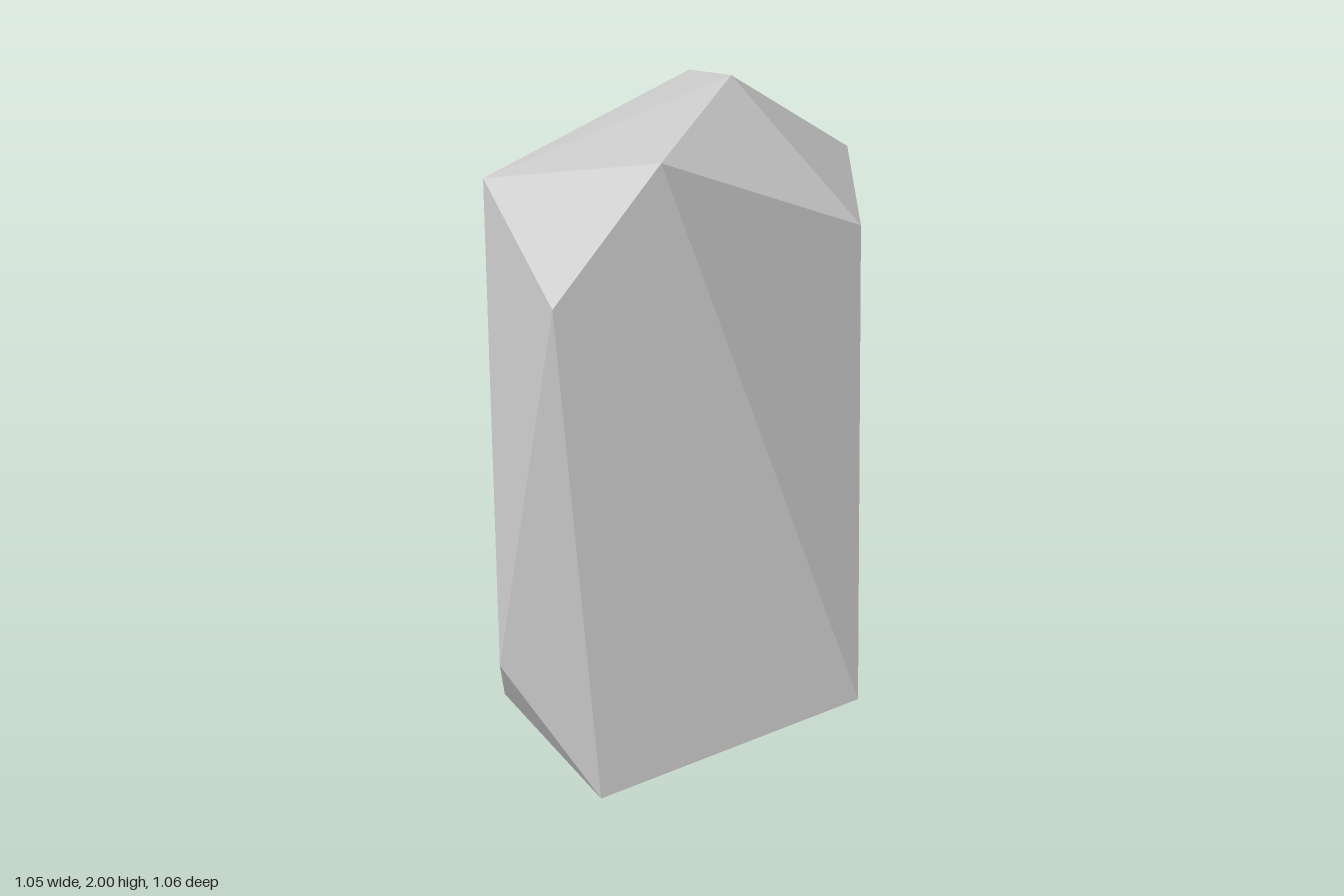
import * as THREE from 'three';
import { ConvexGeometry } from 'three/addons/geometries/ConvexGeometry.js';

// Corners of a tall, faceted boulder
const crown = [
  [-0.53, 1.80, 0.18], [-0.04, 1.94, 0.48], [0.17, 2.0, -0.13],
  [0.515, 1.69, 0.28], [0.515, 1.76, -0.21], [0.06, 1.90, -0.53],
];
const flanks = [
  [-0.335, 1.54, 0.52], [-0.515, 1.35, -0.165], [-0.37, 0.71, -0.525],
  [0.22, 0.60, -0.507], [0.525, 0.33, 0.53], [-0.515, 0.35, 0.35],
];
const foot = [
  [-0.22, 0, 0.525], [0.515, 0.02, -0.238],
  [0.02, 0.02, -0.26], [-0.52, 0.07, 0.03],
];

export function createModel() {
  const model = new THREE.Group();
  model.name = 'boulder';

  // The rock is the convex skin around its corners, one flat normal per facet
  const corners = [...crown, ...flanks, ...foot].map((p) => new THREE.Vector3(...p));
  const rock = new THREE.Mesh(
    new ConvexGeometry(corners),
    new THREE.MeshStandardMaterial({ color: 0xcccccc, flatShading: true })
  );
  rock.name = 'rock';
  model.add(rock);

  return model;
}
